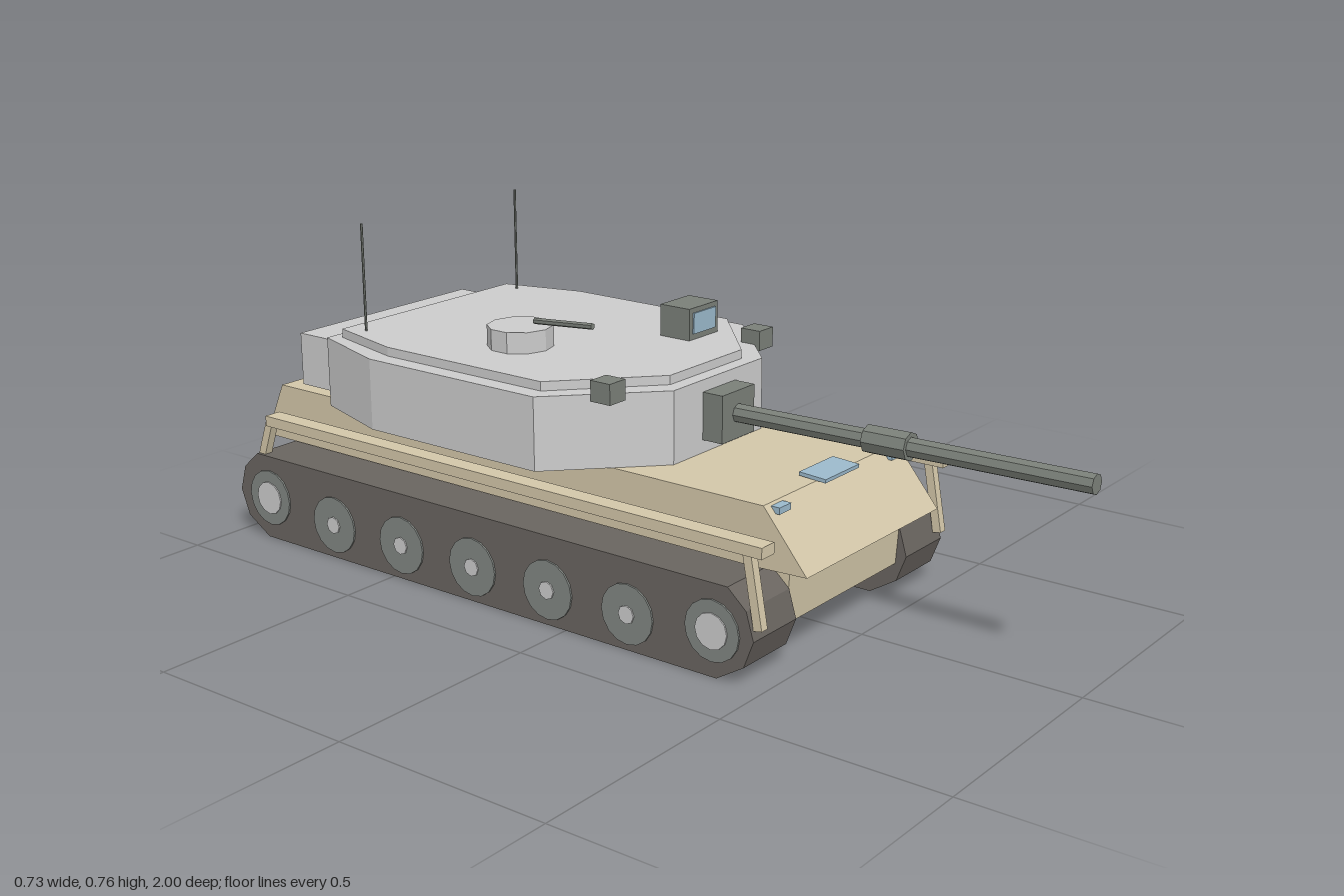
import * as THREE from 'three';

const paint = (color) => new THREE.MeshStandardMaterial({ color, flatShading: true });
const grey = paint(0xcccccc);
const tan = paint(0xd2c6a8);
const dark = paint(0x7a7f78);
const rubber = paint(0x69645f);
const steel = paint(0x808581);
const glass = paint(0x9ab8ca);

export function createModel() {
  const model = new THREE.Group();

  const add = (name, geometry, material, x = 0, y = 0, z = 0) => {
    const mesh = new THREE.Mesh(geometry, material);
    mesh.name = name;
    mesh.position.set(x, y, z);
    model.add(mesh);
    return mesh;
  };
  const box = (name, material, w, h, d, x, y, z) =>
    add(name, new THREE.BoxGeometry(w, h, d), material, x, y, z);

  const toShape = (points) => new THREE.Shape(points.map(([a, b]) => new THREE.Vector2(a, b)));
  // Side profile of [z, y] points, extruded across the width
  const sideProfile = (points, width) =>
    new THREE.ExtrudeGeometry(toShape(points), { depth: width, bevelEnabled: false })
      .translate(0, 0, -width / 2).rotateY(-Math.PI / 2);
  // Half plan of [x, z] points, mirrored in x and extruded from bottom to top
  const planSlab = (half, bottom, top) => {
    const mirrored = half.map(([x, z]) => [-x, z]).reverse();
    return new THREE.ExtrudeGeometry(toShape([...half, ...mirrored]), { depth: top - bottom, bevelEnabled: false })
      .rotateX(Math.PI / 2).translate(0, top, 0);
  };
  // Cylinder between two points
  const rod = (name, material, from, to, r, sides) => {
    const a = new THREE.Vector3(...from), b = new THREE.Vector3(...to);
    const dir = b.clone().sub(a);
    const mesh = add(name, new THREE.CylinderGeometry(r, r, dir.length(), sides), material);
    mesh.position.copy(a).add(b).multiplyScalar(0.5);
    mesh.quaternion.setFromUnitVectors(new THREE.Vector3(0, 1, 0), dir.normalize());
    return mesh;
  };

  // Hull
  add('lowerHull', sideProfile([[0.45, 0.08], [0.46, 0.215], [-0.96, 0.215], [-0.95, 0.08]], 0.42), tan);
  add('upperHull', sideProfile([[0.525, 0.21], [0.42, 0.337], [-0.96, 0.337], [-1, 0.25], [-1, 0.205], [0.4, 0.205]], 0.5), tan);
  box('driverVisor', glass, 0.126, 0.008, 0.065, 0, 0.342, 0.41).rotation.x = 0.06;

  // Running gear, rails and lamps on both sides
  const trackHalf = [[0.65, 0], [0.715, 0.04], [0.738, 0.1], [0.72, 0.16], [0.675, 0.2]];
  const trackLoop = [...trackHalf, ...trackHalf.map(([z, y]) => [-z, y]).reverse()]
    .map(([z, y]) => [z - 0.262, y]);
  for (const s of [-1, 1]) {
    const disc = (name, material, r, sides, outer, y, z) =>
      add(name, new THREE.CylinderGeometry(r, r, 0.02, sides).rotateZ(Math.PI / 2),
        material, s * (outer - 0.01), y, z);
    add('track', sideProfile(trackLoop, 0.147), rubber, s * 0.2845);
    for (let i = 0; i < 7; i++) {
      const end = i === 0 || i === 6;
      const z = 0.378 - i * 0.2125;
      const y = end ? 0.1 : 0.08;
      disc(end ? 'endWheel' : 'roadWheel', steel, 0.066, 16, 0.362, y, z);
      disc('wheelHub', grey, end ? 0.039 : 0.02, end ? 12 : 8, 0.365, y, z);
    }
    box('fenderRail', tan, 0.042, 0.024, 1.39, s * 0.341, 0.288, -0.2);
    box('frontRailStay', tan, 0.02, 0.16, 0.02, s * 0.341, 0.2, 0.466).rotation.x = -0.18;
    box('rearRailStay', tan, 0.02, 0.16, 0.02, s * 0.341, 0.205, -0.925).rotation.x = 0.35;
    box('headlamp', glass, 0.04, 0.014, 0.03, s * 0.21, 0.325, 0.43);
  }

  // Turret with its raised roof plate
  add('turret', planSlab([[0.158, 0.13], [0.366, -0.07], [0.366, -0.54], [0.297, -0.745]], 0.337, 0.497), grey);
  add('turretRoof', planSlab([[0.127, 0.097], [0.325, -0.085], [0.325, -0.525], [0.275, -0.718]], 0.49, 0.517), grey);
  box('bustleBin', grey, 0.54, 0.122, 0.1, 0, 0.422, -0.813);

  // Main gun
  box('mantlet', dark, 0.115, 0.105, 0.055, 0, 0.418, 0.153);
  rod('gunBarrel', dark, [0, 0.42, 0.15], [0, 0.435, 1], 0.021, 8);
  rod('boreSleeve', dark, [0, 0.427, 0.5], [0, 0.429, 0.6], 0.03, 8);

  // Roof equipment
  add('cupola', new THREE.CylinderGeometry(0.073, 0.073, 0.048, 10), grey, -0.138, 0.54, -0.305);
  rod('machineGun', dark, [-0.138, 0.579, -0.262], [-0.138, 0.592, -0.1], 0.007, 6);
  box('sightHousing', dark, 0.105, 0.073, 0.08, 0.167, 0.552, -0.075);
  box('sightGlass', glass, 0.08, 0.047, 0.006, 0.167, 0.554, -0.034);
  for (const s of [-1, 1]) {
    box('cornerSight', dark, 0.051, 0.045, 0.051, s * 0.263, 0.507, 0.042);
    rod('antenna', dark, [s * 0.253, 0.515, -0.664], [s * 0.253, 0.76, -0.664], 0.003, 6);
  }
  return model;
}
